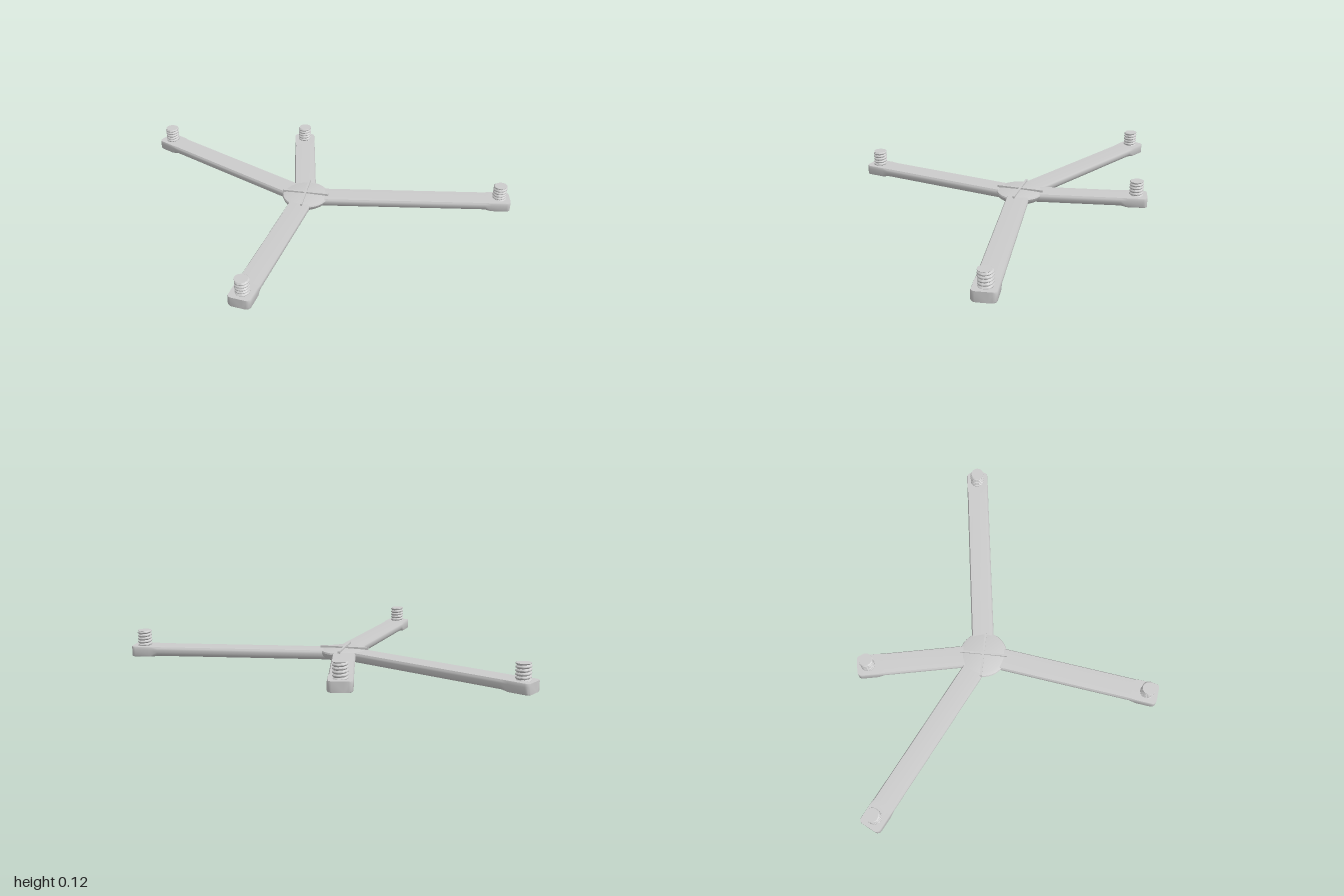
import * as THREE from 'three';
import { toCreasedNormals } from 'three/addons/utils/BufferGeometryUtils.js';

const material = new THREE.MeshStandardMaterial({ color: 0xcccccc });
const HUB = new THREE.Vector2(-0.06, -0.132); // x, z
const HALF_WIDTH = 0.056;

function addMesh(parent, geometry, name) {
  const mesh = new THREE.Mesh(geometry, material);
  mesh.name = name;
  parent.add(mesh);
  return mesh;
}

// Half sections as [width fraction, y], bottom to top: rounded shaft, square end
const SHAFT = [[0.5, 0], [0.74, 0.004], [0.9, 0.013], [0.98, 0.024], [1, 0.034], [0.98, 0.043], [0.9, 0.049], [0.5, 0.05]];
const BLOCK = [[0.5, 0], [0.9, 0], [0.97, 0.002], [1, 0.006], [1, 0.034], [1, 0.045], [0.96, 0.05], [0.5, 0.05]];

function section(blend, scale) {
  const half = SHAFT.map(([w, y], i) => [
    THREE.MathUtils.lerp(w, BLOCK[i][0], blend) * HALF_WIDTH * scale,
    THREE.MathUtils.lerp(y, BLOCK[i][1], blend),
  ]);
  return [...half, ...half.slice().reverse().map(([x, y]) => [-x, y])];
}

// Arm lofted along +z, with softened plan corners at the tip
function armGeometry(length) {
  const stations = [[0, 0, 1], [length - 0.13, 0, 1], [length - 0.1, 1, 1]];
  const r = 0.02;
  for (let i = 0; i <= 4; i++) {
    const a = (i / 4) * Math.PI / 2;
    stations.push([length - r + r * Math.sin(a), 1, 1 - (r / HALF_WIDTH) * (1 - Math.cos(a))]);
  }
  const positions = [], index = [];
  const n = SHAFT.length * 2;
  for (const [z, blend, scale] of stations) {
    for (const [x, y] of section(blend, scale)) positions.push(x, y, z);
  }
  for (let s = 0; s < stations.length - 1; s++) {
    for (let i = 0; i < n; i++) {
      const a = s * n + i, b = s * n + (i + 1) % n;
      index.push(a, b, b + n, a, b + n, a + n);
    }
  }
  const last = (stations.length - 1) * n;
  for (let i = 1; i < n - 1; i++) {
    index.push(0, i + 1, i, last, last + i, last + i + 1);
  }
  const geometry = new THREE.BufferGeometry();
  geometry.setAttribute('position', new THREE.Float32BufferAttribute(positions, 3));
  geometry.setIndex(index);
  return toCreasedNormals(geometry, 0.7);
}

// Stud with a helical thread, made by pulsing a cylinder's radius
function screwGeometry() {
  const height = 0.08, pitch = 0.0155;
  const geometry = new THREE.CylinderGeometry(1, 1, height, 28, 40);
  const p = geometry.attributes.position;
  for (let i = 0; i < p.count; i++) {
    const x = p.getX(i), y = p.getY(i), z = p.getZ(i);
    const turn = y / pitch + Math.atan2(z, x) / (Math.PI * 2);
    const wave = Math.abs((turn - Math.floor(turn)) * 2 - 1);
    const radius = 0.027 + 0.008 * Math.min(1, wave * 1.4);
    p.setXYZ(i, x * radius, y, z * radius);
  }
  geometry.translate(0, height / 2 + 0.045, 0);
  return toCreasedNormals(geometry, 0.6);
}

export function createModel() {
  const model = new THREE.Group();
  model.name = 'crossBase';

  // Arms with a threaded stud near each tip
  const tips = {
    backRightArm: [-0.976, -0.576],
    backArm: [-0.188, -0.759],
    leftArm: [0.988, -0.285],
    frontArm: [-0.187, 0.757],
  };
  const screw = screwGeometry();
  for (const [name, [x, z]] of Object.entries(tips)) {
    const dx = x - HUB.x, dz = z - HUB.y;
    const length = Math.hypot(dx, dz);
    const arm = new THREE.Group();
    arm.name = name;
    arm.position.set(HUB.x, 0, HUB.y);
    arm.rotation.y = Math.atan2(dx, dz);
    addMesh(arm, armGeometry(length), 'beam');
    addMesh(arm, screw, 'threadedStud').position.z = length - 0.055;
    model.add(arm);
  }

  // Central hub: shallow dish with a slightly domed top
  const hub = new THREE.Group();
  hub.name = 'hub';
  hub.position.set(HUB.x, 0, HUB.y);
  const profile = [[0, 0], [0.07, 0], [0.095, 0.008], [0.113, 0.022], [0.12, 0.04], [0.117, 0.047], [0.1, 0.051], [0, 0.054]]
    .map(([r, y]) => new THREE.Vector2(r, y));
  addMesh(hub, toCreasedNormals(new THREE.LatheGeometry(profile, 40), 0.6), 'hubBody');

  // Thin crossed ribs on top of the hub
  for (const [w, d, name] of [[0.24, 0.01, 'crossRib'], [0.01, 0.24, 'longRib']]) {
    addMesh(hub, new THREE.BoxGeometry(w, 0.02, d), name).position.y = 0.051;
  }
  model.add(hub);
  return model;
}
